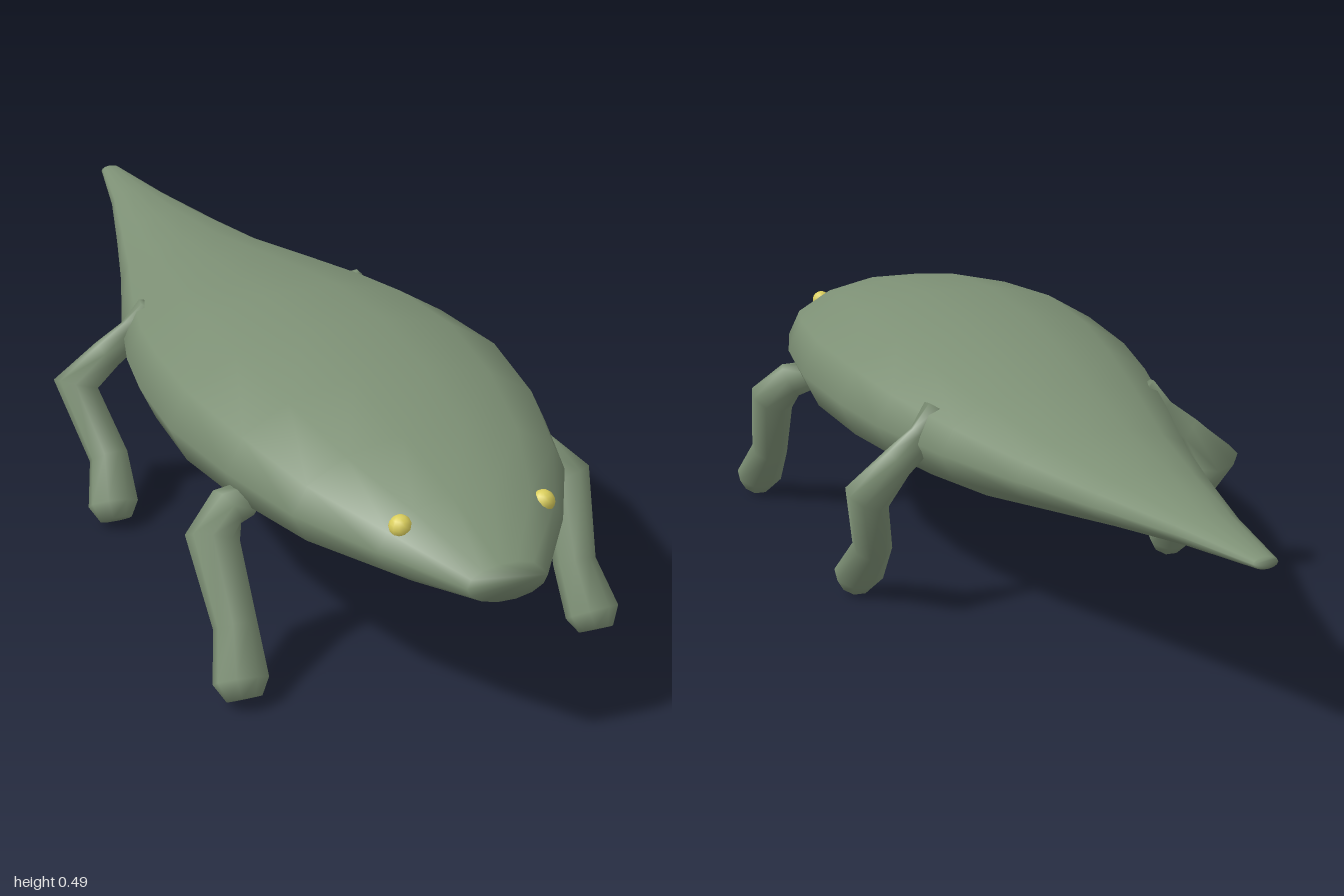
import * as THREE from 'three';

// Closed smooth skin over a list of rings, each a list of Vector3
function loft(rings) {
  const n = rings[0].length, pos = [], index = [];
  for (const ring of rings) for (const p of ring) pos.push(p.x, p.y, p.z);
  for (let r = 0; r < rings.length - 1; r++) {
    for (let i = 0; i < n; i++) {
      const j = (i + 1) % n, a = r * n, b = a + n;
      index.push(a + i, b + i, a + j, b + i, b + j, a + j);
    }
  }
  const last = (rings.length - 1) * n;
  for (let i = 1; i < n - 1; i++) {
    index.push(0, i, i + 1, last, last + i + 1, last + i);
  }
  const geo = new THREE.BufferGeometry();
  geo.setAttribute('position', new THREE.Float32BufferAttribute(pos, 3));
  geo.setIndex(index);
  geo.computeVertexNormals();
  return geo;
}

// Body stations: z, half width, top, bottom
const STATIONS = [
  [1.0, 0.068, 0.347, 0.283],
  [0.87, 0.16, 0.405, 0.256],
  [0.72, 0.24, 0.445, 0.23],
  [0.55, 0.29, 0.477, 0.212],
  [0.35, 0.32, 0.49, 0.198],
  [0.15, 0.308, 0.479, 0.192],
  [0.0, 0.283, 0.457, 0.197],
  [-0.2, 0.23, 0.425, 0.215],
  [-0.4, 0.167, 0.393, 0.248],
  [-0.6, 0.112, 0.375, 0.281],
  [-0.8, 0.06, 0.364, 0.31],
  [-1.0, 0.021, 0.355, 0.335],
];

function bodyGeometry() {
  const n = 14, flat = Math.cos(Math.PI / n);
  return loft(STATIONS.map(([z, w, top, bottom]) => {
    const cy = (top + bottom) / 2, h = (top - bottom) / 2 / flat;
    return Array.from({ length: n }, (_, i) => {
      const a = (i / n) * Math.PI * 2;
      return new THREE.Vector3(w * Math.cos(a), cy + h * Math.sin(a), z);
    });
  }));
}

// Leg joints: x, y, z, radius across, radius fore and aft
const FRONT_LEG = [
  [0.25, 0.29, 0.545, 0.03, 0.03],
  [0.288, 0.283, 0.55, 0.036, 0.036],
  [0.322, 0.243, 0.572, 0.046, 0.042],
  [0.31, 0.115, 0.645, 0.037, 0.036],
  [0.32, 0.043, 0.698, 0.048, 0.036],
  [0.32, 0.018, 0.715, 0.03, 0.027],
];
const REAR_LEG = [
  [0.2, 0.375, -0.105, 0.03, 0.026],
  [0.235, 0.33, -0.115, 0.03, 0.012],
  [0.285, 0.29, -0.12, 0.032, 0.022],
  [0.345, 0.235, -0.128, 0.042, 0.044],
  [0.31, 0.115, -0.045, 0.037, 0.036],
  [0.32, 0.043, 0.01, 0.048, 0.036],
  [0.32, 0.018, 0.027, 0.03, 0.027],
];

function legGeometry(joints, side) {
  const n = 8, forward = new THREE.Vector3(0, 0, 1);
  const pts = joints.map(([x, y, z]) => new THREE.Vector3(side * x, y, z));
  return loft(pts.map((p, k) => {
    // Each ring faces along the bisector of its two bones
    const t = new THREE.Vector3();
    if (k > 0) t.add(p.clone().sub(pts[k - 1]).normalize());
    if (k < pts.length - 1) t.add(pts[k + 1].clone().sub(p).normalize());
    t.normalize();
    const u = forward.clone().cross(t).normalize();
    const v = u.clone().cross(t);
    return Array.from({ length: n }, (_, i) => {
      const a = ((i + 0.5) / n) * Math.PI * 2;
      return p.clone()
        .addScaledVector(u, joints[k][3] * Math.cos(a))
        .addScaledVector(v, joints[k][4] * Math.sin(a));
    });
  }));
}

export function createModel() {
  const model = new THREE.Group();
  const skin = new THREE.MeshStandardMaterial({ color: 0x7d9075 });
  skin.name = 'skin green';
  const yellow = new THREE.MeshStandardMaterial({ color: 0xd9cd5c });
  yellow.name = 'eye yellow';

  const add = (name, geometry, material) => {
    const mesh = new THREE.Mesh(geometry, material);
    mesh.name = name;
    model.add(mesh);
    return mesh;
  };

  add('body', bodyGeometry(), skin);

  for (const [label, side] of [['Left', 1], ['Right', -1]]) {
    add('frontLeg' + label, legGeometry(FRONT_LEG, side), skin);
    add('rearLeg' + label, legGeometry(REAR_LEG, side), skin);
    const eye = add('eye' + label, new THREE.SphereGeometry(0.019, 12, 8), yellow);
    eye.position.set(side * 0.122, 0.37, 0.872);
  }
  return model;
}
